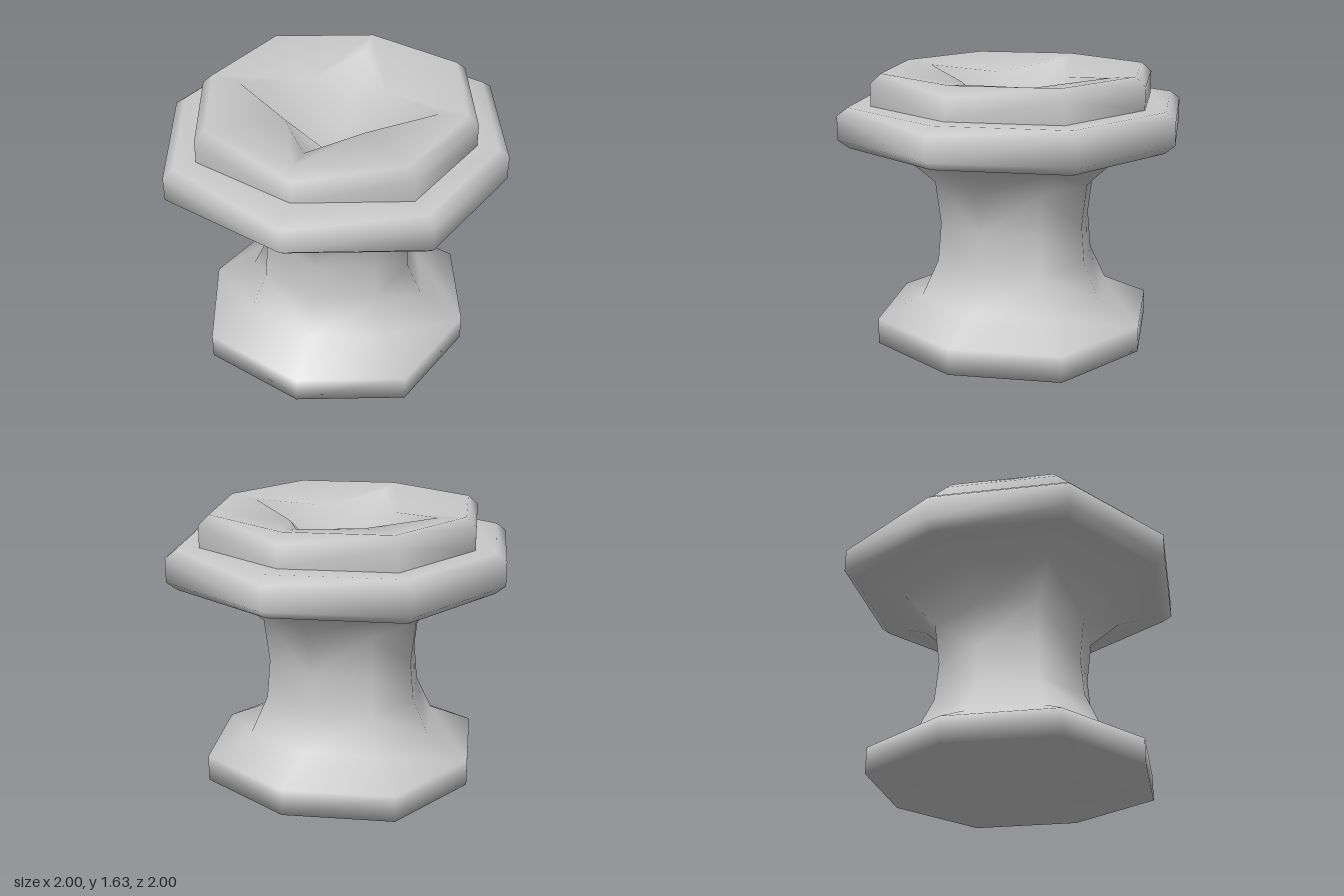
import * as THREE from 'three';
import { mergeVertices } from 'three/addons/utils/BufferGeometryUtils.js';

// Loft of eight-sided rings. Each ring: [y, axis radius, diagonal corner offset, corner y].
// The corner offset defaults to 0.75 of the axis radius, the corner y to y.
function loft(rings) {
  const positions = [], index = [];
  for (const [y, r, d = r * 0.75, cornerY = y] of rings) {
    for (let j = 0; j < 8; j++) {
      const a = (j * Math.PI) / 4;
      const k = j % 2 ? d * Math.SQRT2 : r;
      positions.push(Math.cos(a) * k, j % 2 ? cornerY : y, Math.sin(a) * k);
    }
  }
  for (let i = 0; i < rings.length - 1; i++) {
    for (let j = 0; j < 8; j++) {
      const n = (j + 1) % 8;
      const a = i * 8 + j, b = a + 8, c = i * 8 + n, e = c + 8;
      // mirrored diagonals keep the four quarters symmetrical
      if (j % 2) index.push(a, b, c, b, e, c);
      else index.push(a, b, e, a, e, c);
    }
  }
  let g = new THREE.BufferGeometry();
  g.setAttribute('position', new THREE.Float32BufferAttribute(positions, 3));
  g.setIndex(index);
  g = mergeVertices(g, 1e-4);
  g.computeVertexNormals();
  return g;
}

export function createModel() {
  const group = new THREE.Group();
  const stone = new THREE.MeshStandardMaterial({ color: 0xc8c8c8 });
  stone.name = 'pale grey';

  const add = (name, rings) => {
    const mesh = new THREE.Mesh(loft(rings), stone);
    mesh.name = name;
    group.add(mesh);
  };

  // foot, waisted neck and its flare under the collar
  add('footAndNeck', [
    [0, 0], [0, 0.815], [0.155, 0.815], [0.28, 0.555], [0.49, 0.46],
    [0.72, 0.44], [0.975, 0.47], [1.145, 0.65], [1.21, 0.815],
  ]);

  // wide bevelled collar
  add('collar', [
    [1.21, 0.815], [1.21, 0.94], [1.26, 1], [1.4, 1], [1.445, 0.94], [1.445, 0.815],
  ]);

  // top tier, with a star-shaped lip leading into a hollow
  add('topBasin', [
    [1.445, 0.815], [1.575, 0.815], [1.63, 0.755],
    [1.61, 0.59, 0.23, 1.56], [1.2, 0],
  ]);

  return group;
}
